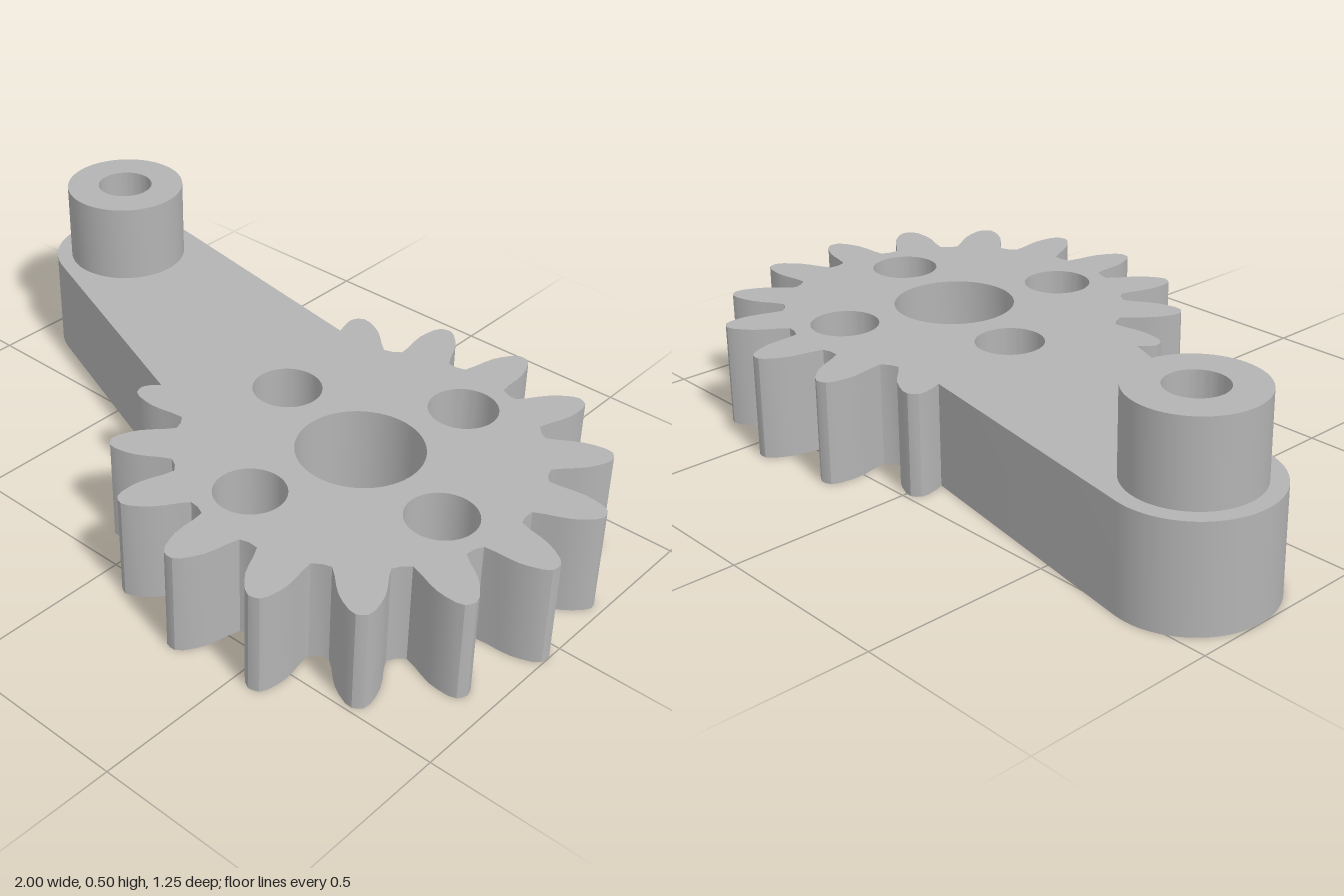
import * as THREE from 'three';
import { toCreasedNormals } from 'three/addons/utils/BufferGeometryUtils.js';

const rad = THREE.MathUtils.degToRad;
const THICK = 0.28;
const GEAR = [0.374, 0];     // gear centre in plan (x, -z)
const PIVOT = [-0.79, 0.315]; // arm end centre in plan
const PITCH = 22.5;

const polar = ([cx, cy], r, deg) =>
  new THREE.Vector2(cx + r * Math.cos(rad(deg)), cy + r * Math.sin(rad(deg)));

function circle(Type, [x, y], r) {
  return new Type().absarc(x, y, r, 0, Math.PI * 2, Type === THREE.Path);
}

// Extrudes a plan shape upwards from y0 to y1
function slab(shape, y0, y1) {
  const g = new THREE.ExtrudeGeometry(shape, { depth: y1 - y0, bevelEnabled: false, curveSegments: 32 });
  g.rotateX(-Math.PI / 2);
  g.translate(0, y0, 0);
  return toCreasedNormals(g, rad(28));
}

// Half tooth from root to tip: [half angle in degrees, radius]
const FLANK = [[8.2, 0.47], [7, 0.5], [6.2, 0.533], [5.3, 0.562], [4.2, 0.585], [2.7, 0.611], [1.3, 0.625]];

// Outline of the arm running into a gear with 14 exposed teeth
function plateShape() {
  const pts = [];
  for (let i = 0; i <= 32; i++) {
    pts.push(polar(PIVOT, 0.21, 80.5 + (249.5 - 80.5) * i / 32));
  }
  const first = 197.5, count = 14;
  for (let k = 0; k < count; k++) {
    const mid = first + k * PITCH;
    const rise = k === 0 ? FLANK.slice(4) : FLANK;
    const fall = k === count - 1 ? FLANK.slice(3) : FLANK;
    rise.forEach(([a, r]) => pts.push(polar(GEAR, r, mid - a)));
    pts.push(polar(GEAR, 0.627, mid));
    [...fall].reverse().forEach(([a, r]) => pts.push(polar(GEAR, r, mid + a)));
    if (k < count - 1) pts.push(polar(GEAR, 0.465, mid + PITCH / 2));
  }
  return new THREE.Shape(pts);
}

export function createModel() {
  const model = new THREE.Group();
  model.name = 'gearLever';
  const grey = new THREE.MeshStandardMaterial({ color: 0xb3b3b3 });
  grey.name = 'grey';

  const add = (name, geometry) => {
    const mesh = new THREE.Mesh(geometry, grey);
    mesh.name = name;
    model.add(mesh);
  };

  const boltCentres = [0, 1, 2, 3].map(i => {
    const p = polar(GEAR, 0.327, 75.5 + i * 90);
    return [p.x, p.y];
  });

  // Gear and arm plate with its bores
  const plate = plateShape();
  plate.holes.push(circle(THREE.Path, GEAR, 0.165));
  plate.holes.push(circle(THREE.Path, PIVOT, 0.077));
  boltCentres.forEach(c => plate.holes.push(circle(THREE.Path, c, 0.092)));
  add('gearAndArm', slab(plate, 0, THICK));

  // Narrow lower ends of the counterbored bolt holes
  boltCentres.forEach((c, i) => {
    const ring = circle(THREE.Shape, c, 0.092);
    ring.holes.push(circle(THREE.Path, c, 0.062));
    add('counterboreSeat' + (i + 1), slab(ring, 0, 0.13));
  });

  // Hollow boss on the end of the arm
  const boss = circle(THREE.Shape, PIVOT, 0.167);
  boss.holes.push(circle(THREE.Path, PIVOT, 0.077));
  add('pivotBoss', slab(boss, THICK, 0.5));

  return model;
}
